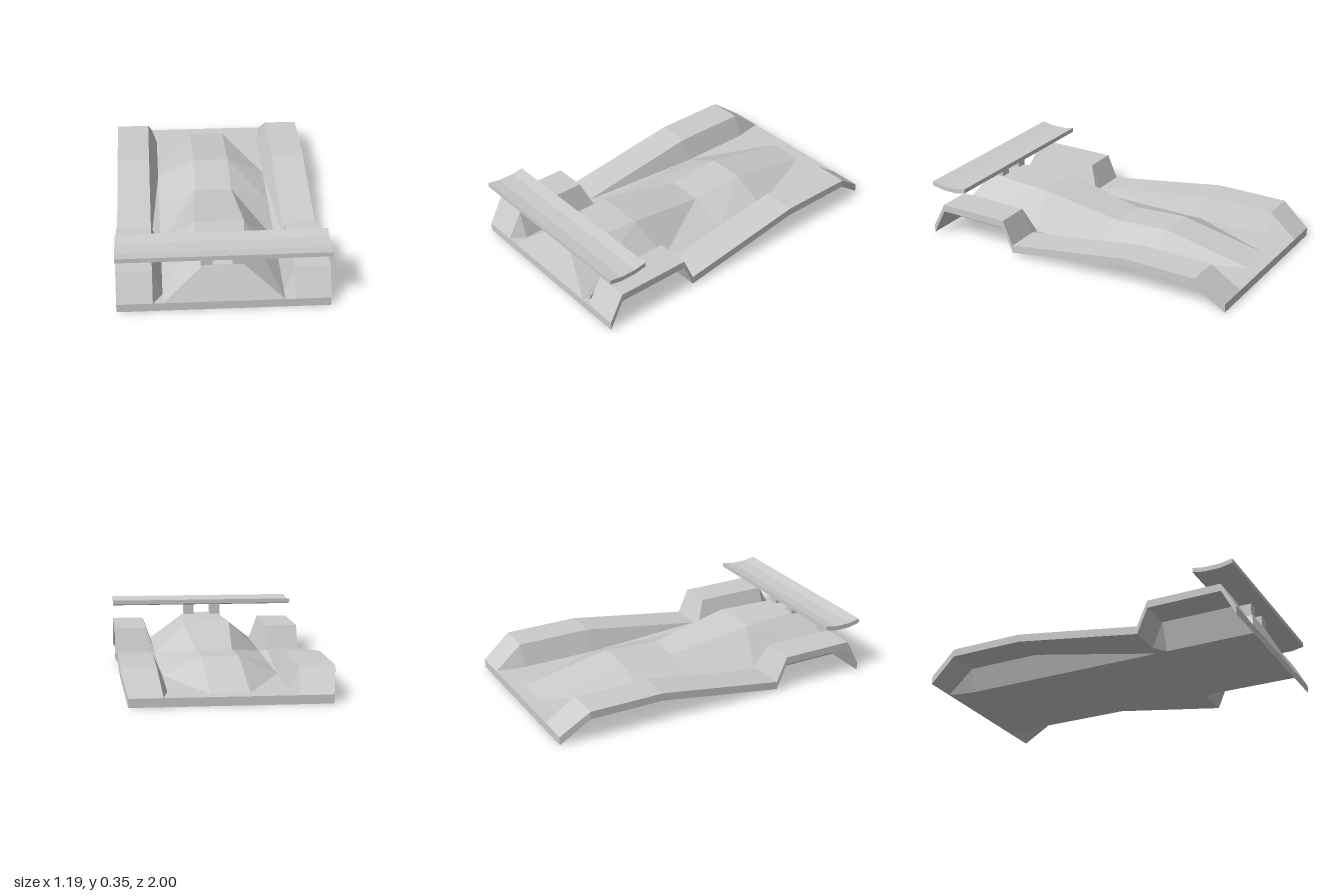
import * as THREE from 'three';

const material = new THREE.MeshStandardMaterial({ color: 0xcccccc, flatShading: true });

function addMesh(group, geometry, name) {
  const mesh = new THREE.Mesh(geometry, material);
  mesh.name = name;
  group.add(mesh);
  return mesh;
}

// Skin closed rings (counter-clockwise seen from +z, ordered by rising z) and cap both ends
function loft(rings) {
  const out = [];
  const tri = (...points) => points.forEach((p) => out.push(...p));
  const n = rings[0].length;
  for (let i = 0; i + 1 < rings.length; i++) {
    for (let j = 0; j < n; j++) {
      const k = (j + 1) % n;
      const p = rings[i][j], q = rings[i][k], r = rings[i + 1][k], s = rings[i + 1][j];
      // the diagonals are mirrored about x = 0
      if (p[0] + q[0] >= 0) { tri(p, q, s); tri(q, r, s); }
      else { tri(p, q, r); tri(p, r, s); }
    }
  }
  const first = rings[0], last = rings[rings.length - 1];
  for (let j = 1; j + 1 < n; j++) {
    tri(first[0], first[j + 1], first[j]);
    tri(last[0], last[j], last[j + 1]);
  }
  const geometry = new THREE.BufferGeometry();
  geometry.setAttribute('position', new THREE.Float32BufferAttribute(out, 3));
  geometry.computeVertexNormals();
  return geometry;
}

const FLOOR = 0.05;

// Central hull: deck half width, deck height, deck z, base half width, base z
function hullGeometry() {
  const stations = [
    [0.11, 0.05, -1, 0.37, -1],
    [0.11, 0.052, -0.92, 0.34, -0.82],
    [0.11, 0.16, -0.38, 0.34, -0.38],
    [0.11, 0.14, -0.04, 0.34, -0.04],
    [0.15, 0.235, 0.47, 0.34, 0.405],
    [0.11, 0.24, 0.915, 0.34, 1],
    [0.11, 0.05, 1, 0.34, 1],
  ];
  return loft(stations.map(([w, h, z, b, zb]) => [
    [b, 0, zb], [b, FLOOR, zb], [w, h, z],
    [-w, h, z], [-b, FLOOR, zb], [-b, 0, zb],
  ]));
}

// Fender shell: z, top height, underside height, inner foot x, inner top x, outer x
function fenderGeometry(side) {
  const stations = [
    [-1, 0.05, 0, 0.37, 0.37, 0.56],
    [-0.825, 0.18, 0.133, 0.34, 0.395, 0.597],
    [-0.37, 0.18, 0.133, 0.34, 0.395, 0.597],
    [0.405, 0.06, 0.012, 0.34, 0.395, 0.597],
    [0.47, 0.207, 0.162, 0.34, 0.395, 0.597],
    [0.915, 0.207, 0.162, 0.34, 0.395, 0.597],
    [1, 0.05, 0, 0.34, 0.395, 0.597],
  ];
  return loft(stations.map(([z, top, under, foot, inner, outer]) => {
    const ring = [
      [foot, 0, z], [inner, under, z], [outer, under, z],
      [outer, top, z], [inner, top, z], [foot, FLOOR, z],
    ].map(([x, y, d]) => [side * x, y, d]);
    return side > 0 ? ring : ring.reverse();
  }));
}

// Dished wing: (z, y) profile extruded across the width
function wingGeometry() {
  const profile = [
    [0.99, 0.32], [0.915, 0.306], [0.82, 0.306], [0.75, 0.32],
    [0.75, 0.347], [0.82, 0.334], [0.915, 0.334], [0.99, 0.347],
  ];
  const shape = new THREE.Shape(profile.map(([z, y]) => new THREE.Vector2(-z, y)));
  const width = 1.194;
  const geometry = new THREE.ExtrudeGeometry(shape, { depth: width, bevelEnabled: false });
  return geometry.translate(0, 0, -width / 2).rotateY(Math.PI / 2);
}

export function createModel() {
  const model = new THREE.Group();
  model.name = 'racingCarBody';
  addMesh(model, hullGeometry(), 'hull');
  addMesh(model, wingGeometry(), 'wing');

  for (const [side, label] of [[1, 'left'], [-1, 'right']]) {
    addMesh(model, fenderGeometry(side), label + 'Fender');
    // Wing support between deck and wing
    const strut = addMesh(model, new THREE.BoxGeometry(0.064, 0.09, 0.095), label + 'WingStrut');
    strut.position.set(side * 0.088 - 0.005, 0.272, 0.868);
  }
  return model;
}
